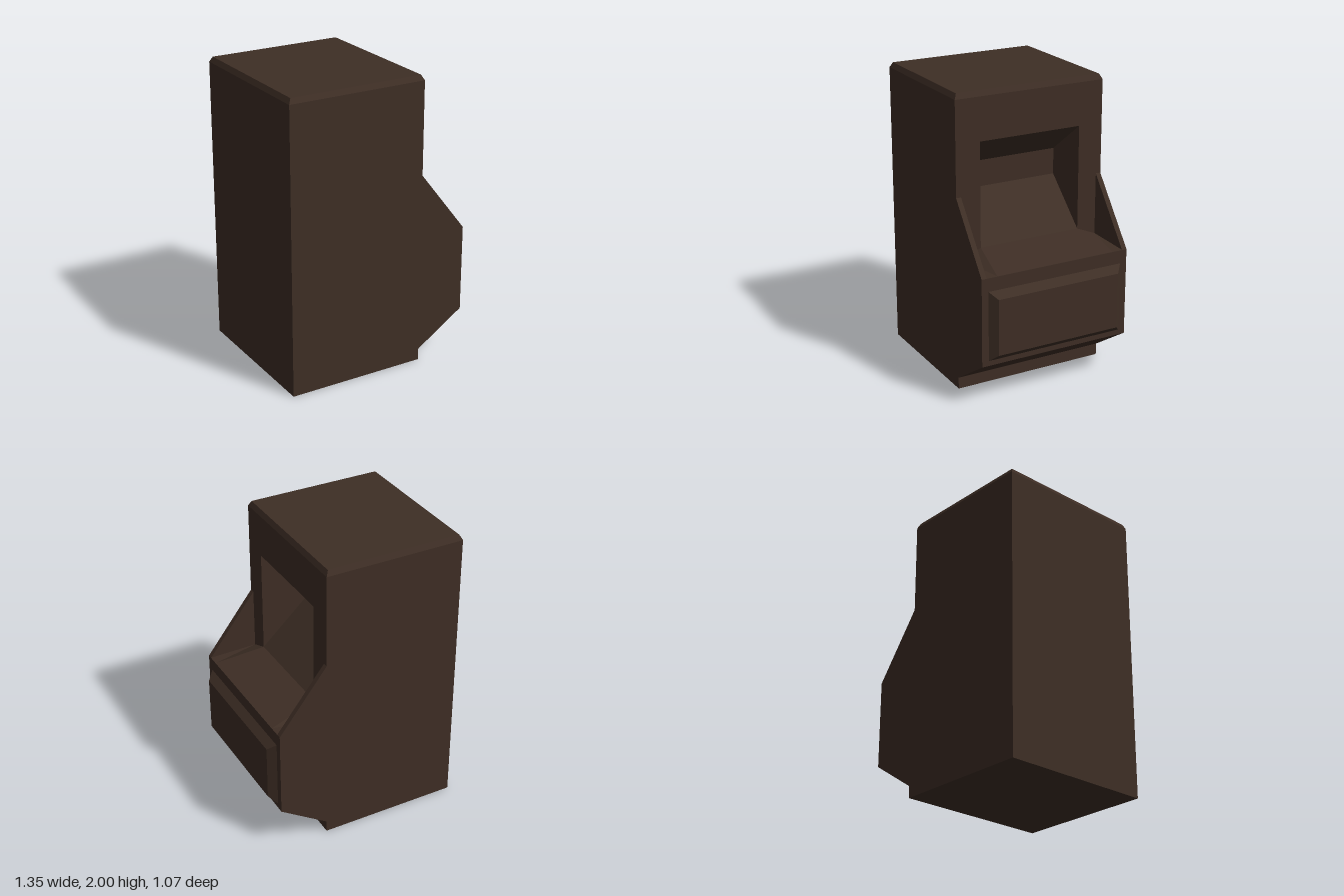
import * as THREE from 'three';

export function createModel() {
  const group = new THREE.Group();
  const brown = new THREE.MeshStandardMaterial({ color: 0x3e2e25 });
  brown.name = 'darkBrown';

  function add(name, geometry) {
    const mesh = new THREE.Mesh(geometry, brown);
    mesh.name = name;
    group.add(mesh);
    return mesh;
  }

  // Side profile in x/y, extruded between two z values
  function slab(name, points, z0, z1) {
    const shape = new THREE.Shape(points.map(([x, y]) => new THREE.Vector2(x, y)));
    const geo = new THREE.ExtrudeGeometry(shape, { depth: z1 - z0, bevelEnabled: false });
    return add(name, geo.translate(0, 0, z0));
  }

  // Box whose far side along one axis is shrunk, giving bevelled edges
  function bevelled(name, size, centre, axis, inset) {
    const box = new THREE.BoxGeometry(...size).toNonIndexed();
    const p = box.attributes.position;
    for (let i = 0; i < p.count; i++) {
      const v = [p.getX(i), p.getY(i), p.getZ(i)];
      if (v[axis] > 0) {
        for (let a = 0; a < 3; a++) if (a !== axis) v[a] -= Math.sign(v[a]) * inset;
      }
      p.setXYZ(i, ...v);
    }
    box.computeVertexNormals();
    return add(name, box.translate(...centre));
  }

  const back = -0.675, face = 0.29, nose = 0.625, half = 0.535, hole = 0.363;
  const top = 1.965;

  // Lower cabinet with projecting middle and sloped underside
  slab('lowerCabinet', [[back, 0], [face, 0], [face, 0.08], [nose, 0.3], [nose, 0.9], [back, 0.9]], -half, half);

  // Upper cabinet: recessed centre with a solid cheek on either side
  slab('screenRecess', [
    [back, 0.9], [face, 0.9], [face, 0.965], [-0.03, 1.26],
    [-0.03, 1.44], [face, 1.675], [face, top], [back, top],
  ], -hole, hole);
  for (const s of [-1, 1]) {
    const span = (a, b) => [Math.min(s * a, s * b), Math.max(s * a, s * b)];
    slab('cabinetCheek', [[back, 0.9], [face, 0.9], [face, top], [back, top]], ...span(hole, half));
    // Triangular fin beside the control shelf
    slab('sideFin', [[face, 0.9], [nose, 0.9], [face, 1.33]], ...span(0.5, half));
  }

  // Top cap with chamfered rim
  bevelled('topCap', [face - back, 2 - top, half * 2], [(face + back) / 2, (2 + top) / 2, 0], 1, 0.018);

  // Control shelf: sloped centre with a folded triangle at each end
  const A = [face, 0.965, hole], B = [nose, 0.902, 0.425], C = [face, 0.908, 0.5], D = [nose, 0.902, 0.5];
  const m = ([x, y, z]) => [x, y, -z];
  const faces = [
    A, B, m(B), A, m(B), m(A),
    A, C, B, m(A), m(B), m(C),
    C, D, B, m(C), m(B), m(D),
  ];
  const shelf = new THREE.BufferGeometry();
  shelf.setAttribute('position', new THREE.Float32BufferAttribute(faces.flat(), 3));
  shelf.computeVertexNormals();
  add('controlShelf', shelf);

  // Raised bevelled panel on the projecting face
  bevelled('raisedPanel', [0.05, 0.475, 0.975], [0.65, 0.572, 0], 0, 0.046);

  return group;
}
